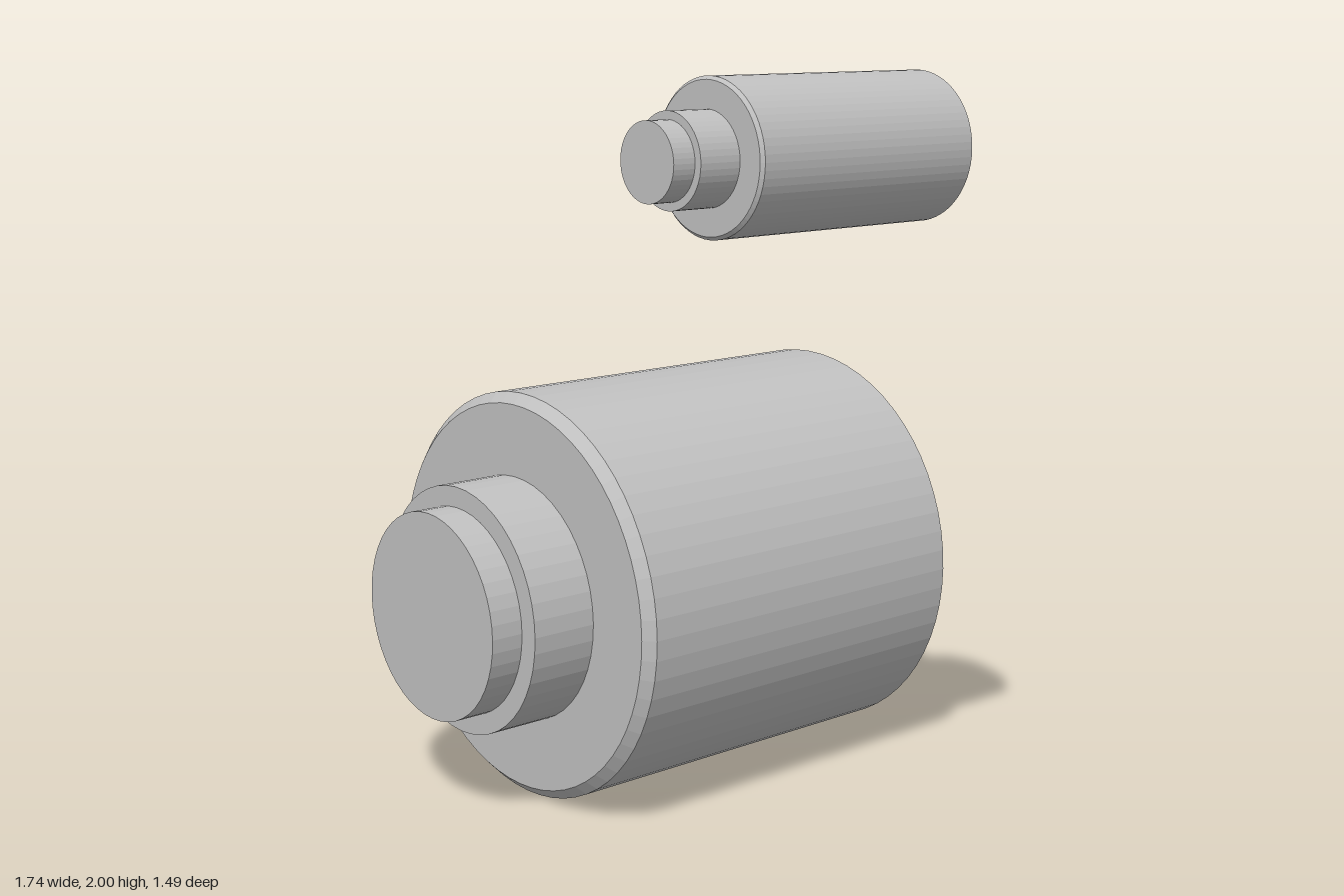
import * as THREE from 'three';

const grey = new THREE.MeshStandardMaterial({ color: 0xc0c0c0, flatShading: true });
grey.name = 'plain grey';

// Solid of revolution along z: bevelled by c at both ends
function turned(name, radius, back, front, c, sides) {
  const profile = c > 0
    ? [[0, back], [radius - c, back], [radius, back + c], [radius, front - c], [radius - c, front], [0, front]]
    : [[0, back], [radius, back], [radius, front], [0, front]];
  const geometry = new THREE.LatheGeometry(profile.map(([r, z]) => new THREE.Vector2(r, z)), sides);
  geometry.rotateX(Math.PI / 2);
  const mesh = new THREE.Mesh(geometry, grey);
  mesh.name = name;
  return mesh;
}

// Bevelled drum with a stepped neck on its front
function steppedCylinder(name, x, y, body, collar, tip) {
  const group = new THREE.Group();
  group.name = name;
  group.position.set(x, y, 0);
  group.add(
    turned('body', body.r, body.back, body.front, body.bevel, 64),
    turned('collar', collar.r, body.front, collar.front, 0, 48),
    turned('tip', tip.r, collar.front, tip.front, 0, 48),
  );
  return group;
}

export function createModel() {
  const model = new THREE.Group();
  model.name = 'steppedCylinders';
  model.add(
    steppedCylinder('largeCylinder', -0.307, 0.565,
      { r: 0.565, back: -0.743, front: 0.387, bevel: 0.028 },
      { r: 0.339, front: 0.577 }, { r: 0.283, front: 0.67 }),
    steppedCylinder('smallCylinder', 0.686, 1.819,
      { r: 0.181, back: -0.11, front: 0.57, bevel: 0.008 },
      { r: 0.109, front: 0.683 }, { r: 0.09, front: 0.743 }),
  );
  return model;
}
